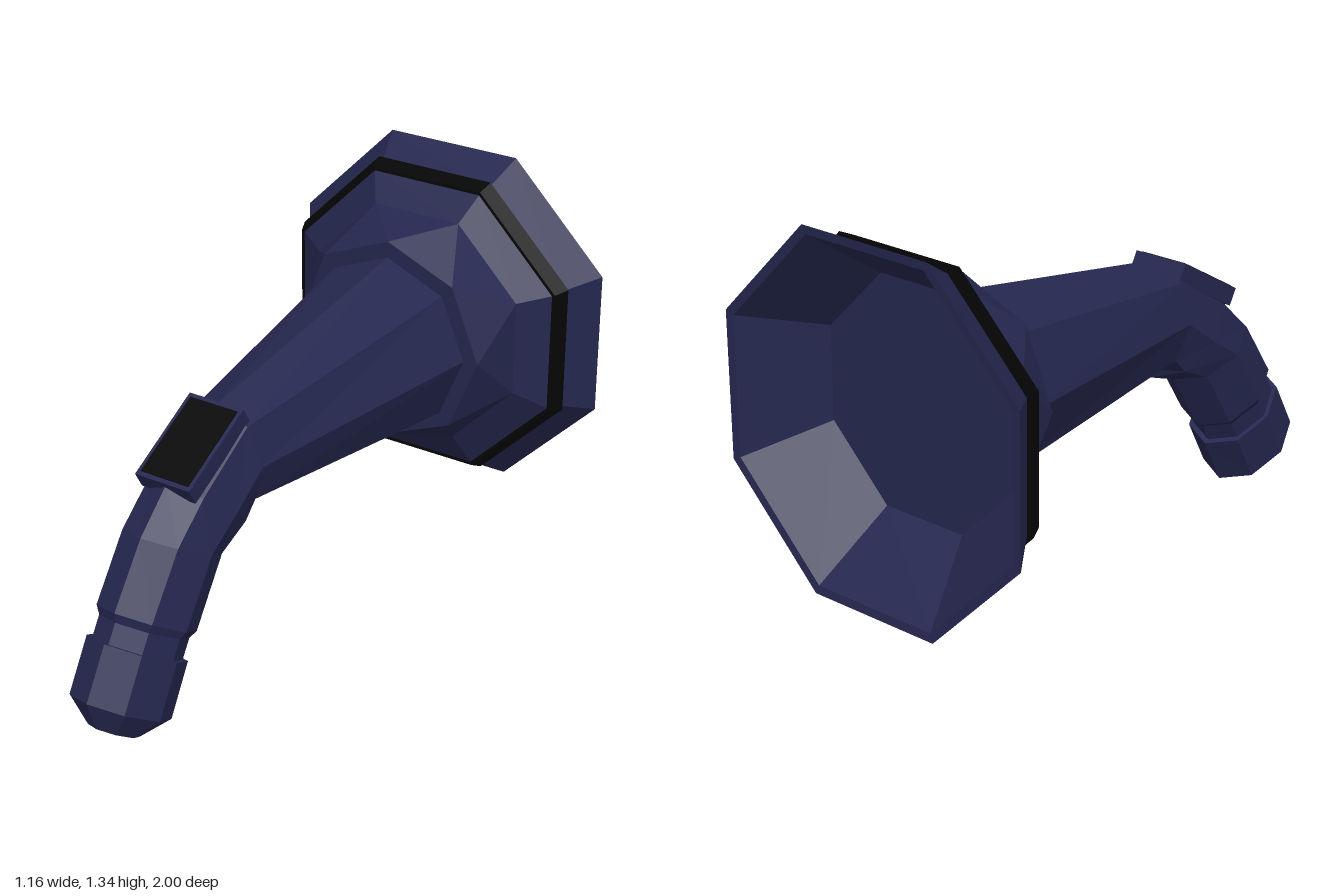
import * as THREE from 'three';

const SIDES = 8;
const CX = 0.018; // neck axis
const C8 = Math.cos(Math.PI / SIDES);
const navy = new THREE.MeshStandardMaterial({ color: 0x25274f, flatShading: true });
const black = new THREE.MeshStandardMaterial({ color: 0x050505, flatShading: true });

// Eight-sided ring: half-width rx, vertical half-axis (hy, hz), turned by phase
function ring(cx, cy, cz, rx, hy, hz = 0, phase = 0) {
  return Array.from({ length: SIDES }, (_, k) => {
    const a = phase + (k / SIDES) * Math.PI * 2;
    return new THREE.Vector3(cx + rx * Math.sin(a), cy + hy * Math.cos(a), cz + hz * Math.cos(a));
  });
}

// Flat-topped octagon given by its apothem, leaning slightly forward at the top
function bellRing(a, z, cx = 0, cy = 0.765) {
  const r = a / C8;
  return ring(cx, cy, z, r, r, r * 0.012, Math.PI / SIDES);
}

// Point-topped octagon across the sloping handle
const handleRing = (y, z, rx, hy, hz) => ring(CX, y, z, rx, hy, hz);

// Skin a list of rings, ordered so the outside faces out
function loft(rings) {
  const pos = [];
  const tri = (...pts) => pts.forEach((p) => pos.push(p.x, p.y, p.z));
  for (let j = 0; j < rings.length - 1; j++) {
    for (let k = 0; k < SIDES; k++) {
      const n = (k + 1) % SIDES;
      const a = rings[j][k], b = rings[j][n], c = rings[j + 1][n], d = rings[j + 1][k];
      tri(a, d, c);
      tri(a, c, b);
    }
  }
  const g = new THREE.BufferGeometry();
  g.setAttribute('position', new THREE.Float32BufferAttribute(pos, 3));
  g.computeVertexNormals();
  return g;
}

export function createModel() {
  const model = new THREE.Group();
  const add = (name, geometry, material, parent = model) => {
    const mesh = new THREE.Mesh(geometry, material);
    mesh.name = name;
    parent.add(mesh);
    return mesh;
  };

  // Bell: recessed dish, flat lip, flared outside, twisted collar
  add('bell', loft([
    bellRing(0, -0.76, 0.012, 0.78),
    bellRing(0.37, -0.76, 0.012, 0.78),
    bellRing(0.55, -0.99, 0, 0.763),
    bellRing(0.578, -0.993, 0, 0.763),
    bellRing(0.49, -0.862, 0.004, 0.77),
    bellRing(0.488, -0.82, 0.006, 0.773),
    bellRing(0.385, -0.748, 0.015, 0.79),
    ring(CX, 0.787, -0.575, 0.347, 0.347, 0.006),
    ring(CX, 0.787, -0.575, 0.28, 0.28, 0.006),
  ]), navy);

  // Dark band around the bell
  add('bellBand', loft([
    bellRing(0.485, -0.866, 0.006, 0.773),
    bellRing(0.518, -0.866, 0.006, 0.773),
    bellRing(0.496, -0.818, 0.006, 0.773),
    bellRing(0.484, -0.818, 0.006, 0.773),
  ]), black);

  // Tapered neck bending down into the handle
  add('neck', loft([
    handleRing(0.785, -0.58, 0.295, 0.295, 0.004),
    handleRing(0.737, 0.322, 0.147, 0.182, 0.027),
    handleRing(0.637, 0.457, 0.147, 0.117, 0.147),
    handleRing(0.553, 0.58, 0.147, 0.078, 0.15),
    handleRing(0.353, 0.71, 0.147, 0.087, 0.15),
    handleRing(0.33, 0.723, 0.132, 0.078, 0.135),
    handleRing(0.27, 0.758, 0.132, 0.078, 0.135),
  ]), navy);

  // Chamfered end cap
  add('endCap', loft([
    handleRing(0.272, 0.758, 0, 0, 0),
    handleRing(0.272, 0.758, 0.147, 0.089, 0.153),
    handleRing(0.112, 0.845, 0.147, 0.089, 0.155),
    handleRing(0.047, 0.88, 0.075, 0.046, 0.08),
    handleRing(0.047, 0.88, 0, 0, 0),
  ]), navy);

  // Button plate with dark inset, lying along the bend
  const button = new THREE.Group();
  button.name = 'button';
  button.position.set(CX - 0.003, 0.846, 0.485);
  button.rotation.x = Math.atan2(0.16, 0.27);
  add('buttonPlate', new THREE.BoxGeometry(0.2, 0.06, 0.314), navy, button).position.y = -0.03;
  add('buttonInset', new THREE.BoxGeometry(0.175, 0.02, 0.285), black, button).position.y = -0.007;
  model.add(button);

  return model;
}
